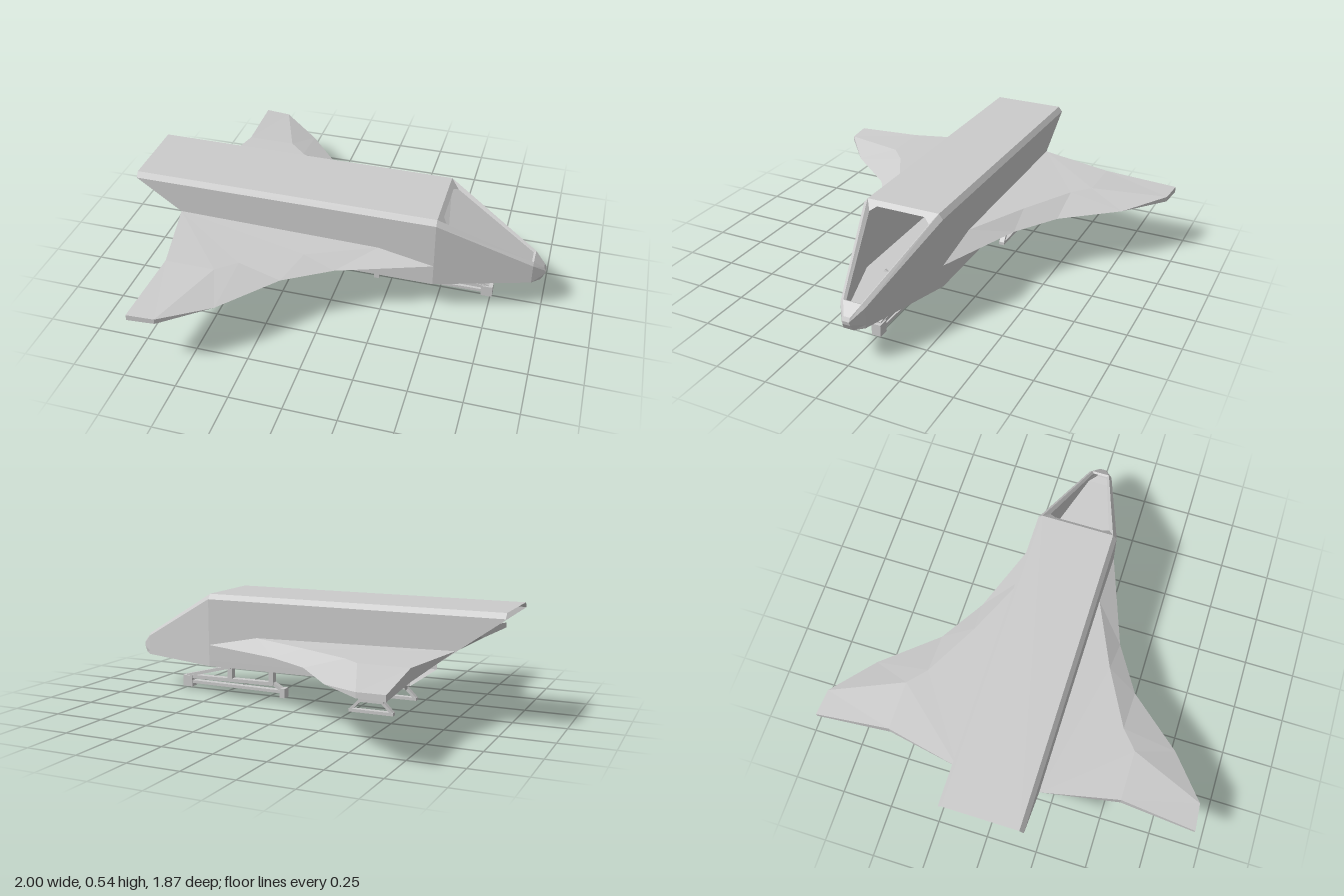
import * as THREE from 'three';

const material = new THREE.MeshStandardMaterial({ color: 0xcccccc, flatShading: true, side: THREE.DoubleSide });

// Mesh from corner points and polygons, each polygon split as a fan
function polyMesh(name, points, polygons) {
  const pos = [];
  for (const p of polygons)
    for (let i = 1; i < p.length - 1; i++)
      for (const k of [p[0], p[i], p[i + 1]]) pos.push(...points[k]);
  const g = new THREE.BufferGeometry();
  g.setAttribute('position', new THREE.Float32BufferAttribute(pos, 3));
  g.computeVertexNormals();
  const m = new THREE.Mesh(g, material);
  m.name = name;
  return m;
}

// Full cross-section ring from its left half, listed bottom to top
const ring = half => [...half, ...[...half].reverse().map(([x, y, z]) => [x, y, -z])];

// Skin between consecutive rings; skip leaves out one strip of the first span
function skin(name, rings, skip = -1) {
  const n = rings[0].length, polys = [];
  for (let r = 0; r < rings.length - 1; r++)
    for (let i = 0; i < n; i++) {
      if (r === 0 && i === skip) continue;
      const j = (i + 1) % n, a = r * n, b = a + n;
      polys.push([a + i, b + i, b + j, a + j]);
    }
  return polyMesh(name, rings.flat(), polys);
}

// Rectangular bar between two points
function beam(name, a, b, t = 0.015, w = 0.025) {
  const A = new THREE.Vector3(...a), d = new THREE.Vector3(...b).sub(A);
  const m = new THREE.Mesh(new THREE.BoxGeometry(d.length(), t, w), material);
  m.position.copy(A).addScaledVector(d, 0.5);
  m.quaternion.setFromUnitVectors(new THREE.Vector3(1, 0, 0), d.normalize());
  m.name = name;
  return m;
}

function makeWing() {
  const P = {
    R0: [-0.78, 0.352, 0.2], R1: [0.22, 0.335, 0.2], R2: [0.49, 0.28, 0.2], R0b: [-0.68, 0.28, 0.2],
    M0: [-0.7, 0.34, 0.57], M1: [-0.46, 0.34, 0.57], M2: [-0.37, 0.338, 0.49], M3: [-0.1, 0.335, 0.345],
    M0b: [-0.7, 0.28, 0.57],
    T0: [-0.73, 0.308, 0.935], T1: [-0.6, 0.305, 0.925], T0b: [-0.73, 0.28, 0.935], T1b: [-0.6, 0.28, 0.925],
    L1: [-0.39, 0.28, 0.755], L2: [-0.17, 0.28, 0.495], L3: [0.05, 0.28, 0.358],
  };
  const faces = [
    // upper surface
    'R0 M0 M1 M2 M3 R1', 'M0 T0 T1 M1',
    // sloping leading edge
    'M1 T1 L1', 'M1 L1 M2', 'M2 L1 L2', 'M2 L2 M3', 'M3 L2 L3', 'M3 L3 R1', 'R1 L3 R2', 'T1 T1b L1',
    // trailing edge and tip
    'R0 R0b M0b M0', 'M0 M0b T0b T0', 'T0 T0b T1b T1',
    // underside
    'R0b R2 L3 L2 L1 M0b', 'M0b L1 T1b T0b',
  ];
  return polyMesh('wing', P, faces.map(f => f.split(' ')));
}

function makeFrontGear() {
  const g = new THREE.Group();
  g.name = 'frontGear';
  g.add(
    beam('skid', [0.17, 0.03, 0], [0.72, 0.035, 0], 0.015, 0.035),
    beam('upperRail', [0.23, 0.065, 0], [0.72, 0.062, 0], 0.018, 0.035),
    beam('dragStrut', [0.48, 0.132, 0], [0.74, 0.065, 0], 0.016, 0.03),
    beam('toeBlock', [0.705, 0.038, 0], [0.76, 0.038, 0], 0.058, 0.045),
    beam('heelBlock', [0.16, 0.024, 0], [0.187, 0.024, 0], 0.048, 0.045),
    beam('heelStrut', [0.175, 0.035, 0], [0.24, 0.072, 0], 0.016, 0.03),
  );
  for (const x of [0.24, 0.48]) {
    g.add(beam('leg', [x, 0.06, 0], [x, 0.18, 0], 0.027, 0.035));
    for (const s of [1, -1]) g.add(beam('brace', [x, 0.13, 0], [x, 0.172, s * 0.11], 0.014, 0.022));
  }
  return g;
}

function makeRearGear() {
  const g = new THREE.Group(), z = 0.165, mid = -0.37;
  g.name = 'rearGear';
  g.add(
    beam('skid', [mid - 0.112, 0.022, z], [mid + 0.112, 0.022, z], 0.015, 0.028),
    beam('crossbar', [mid - 0.06, 0.075, z], [mid + 0.06, 0.075, z], 0.016, 0.028),
  );
  for (const s of [1, -1]) {
    const x = mid + s * 0.055;
    g.add(
      beam('leg', [x, 0.07, z], [x, 0.18, z], 0.016, 0.028),
      beam('skidStrut', [x, 0.075, z], [mid + s * 0.105, 0.025, z], 0.014, 0.025),
      beam('brace', [x, 0.07, z - 0.005], [x, 0.172, 0.055], 0.014, 0.018),
    );
  }
  return g;
}

export function createModel() {
  const model = new THREE.Group();
  model.name = 'shuttle';

  // Long hull, open at its raked rear
  const front = ring([[0.49, 0.172, 0.2], [0.49, 0.2, 0.2], [0.49, 0.51, 0.2], [0.49, 0.535, 0.18]]);
  const rear = ring([[-0.57, 0.172, 0.2], [-0.57, 0.2, 0.2], [-1, 0.51, 0.2], [-1, 0.535, 0.18]]);
  model.add(skin('hull', [rear, front]));

  // Tapering nose with the sloping top left open for the windscreen
  const neck = ring([[0.94, 0.172, 0.06], [0.94, 0.19, 0.06], [0.94, 0.27, 0.06], [0.94, 0.285, 0.045]]);
  const tip = ring([[0.98, 0.175, 0.025], [0.997, 0.205, 0.018], [1, 0.222, 0.016], [0.99, 0.24, 0.016]]);
  model.add(skin('nose', [front, neck, tip], 3));
  model.add(polyMesh('noseTip', tip, [[0, 1, 6, 7], [1, 2, 5, 6], [2, 3, 4, 5]]));

  // Windscreen frame
  const outer = ring([[0.94, 0.285, 0.045], [0.49, 0.535, 0.18], [0.49, 0.535, 0.18]]);
  const inner = ring([[0.93, 0.28, 0.036], [0.53, 0.495, 0.15], [0.51, 0.515, 0.12]]);
  model.add(skin('windscreenFrame', [outer, inner]));

  // Wings and landing gear
  for (const s of [1, -1]) {
    const side = new THREE.Group();
    side.name = s > 0 ? 'leftSide' : 'rightSide';
    side.add(makeWing(), makeRearGear());
    side.scale.z = s;
    model.add(side);
  }
  model.add(makeFrontGear());
  return model;
}
